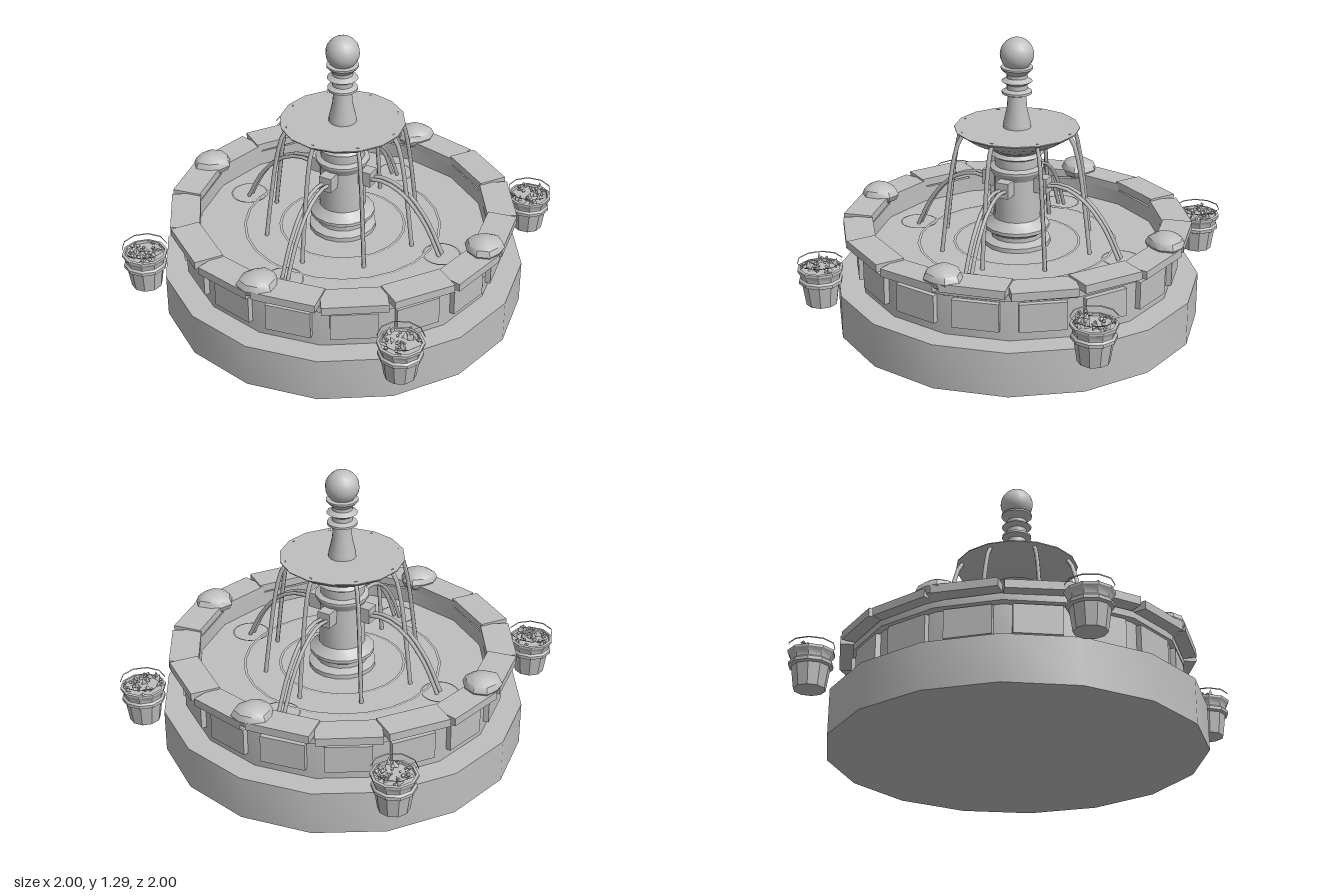
import * as THREE from 'three';
import { toCreasedNormals, mergeGeometries } from 'three/addons/utils/BufferGeometryUtils.js';

const stone = new THREE.MeshStandardMaterial({ color: 0xbfbfbf });
stone.name = 'grey stone';
stone.side = THREE.DoubleSide;

function add(parent, name, geometry, x = 0, y = 0, z = 0) {
  const mesh = new THREE.Mesh(geometry, stone);
  mesh.name = name;
  mesh.position.set(x, y, z);
  parent.add(mesh);
  return mesh;
}

// Turned part from [radius, height] pairs, bottom to top
function turned(profile, sides, crease = 0.5) {
  const points = profile.map(([r, y]) => new THREE.Vector2(r, y));
  return toCreasedNormals(new THREE.LatheGeometry(points, sides), crease);
}

// Small seeded random number source
function seeded(seed) {
  return () => {
    seed = (seed * 16807) % 2147483647;
    return seed / 2147483647;
  };
}

// Thin flat ring lying on the water
function ripple(parent, inner, outer, x, y, z) {
  const ring = new THREE.RingGeometry(inner, outer, 24).rotateX(-Math.PI / 2);
  add(parent, 'ripple', ring, x, y, z);
}

// Arc of water in the x = side plane, flowing outward along z
function jetGeometry(points, side, radius) {
  const curve = new THREE.CatmullRomCurve3(points.map(([r, y]) => new THREE.Vector3(side, y, r)));
  return new THREE.TubeGeometry(curve, 10, radius, 5, false);
}

// Weathered, slightly flattened boulder
function boulderGeometry(seed) {
  const random = seeded(seed);
  const geo = new THREE.SphereGeometry(0.085, 9, 6);
  const pos = geo.attributes.position;
  const a = random() * 6, b = random() * 6;
  for (let i = 0; i < pos.count; i++) {
    const x = pos.getX(i), y = pos.getY(i), z = pos.getZ(i);
    const t = Math.atan2(z, x);
    const k = 1 + (0.07 * Math.sin(3 * t + a) + 0.05 * Math.sin(2 * t + b)) * Math.hypot(x, z) / 0.085;
    pos.setXYZ(i, x * k, y * 0.6 + x * 0.1 * Math.sin(a), z * k);
  }
  return toCreasedNormals(geo, 0.6);
}

// Bed of small leaves and buds for a pot
function plantsGeometry(seed) {
  const random = seeded(seed);
  const parts = [];
  for (let i = 0; i < 34; i++) {
    const angle = random() * Math.PI * 2, r = 0.082 * Math.sqrt(random());
    const size = 0.007 + random() * 0.006;
    const bud = i % 3 === 0
      ? new THREE.ConeGeometry(size * 1.6, 0.03, 3).toNonIndexed()
      : new THREE.OctahedronGeometry(size);
    bud.rotateZ(random() - 0.5).rotateY(random() * 6);
    bud.translate(r * Math.sin(angle), 0.348 + random() * 0.025, r * Math.cos(angle));
    parts.push(bud);
  }
  return mergeGeometries(parts);
}

export function createModel() {
  const model = new THREE.Group();
  model.name = 'fountain';
  const step = Math.PI / 8;

  // Plinth and hollow basin
  add(model, 'plinth', turned([[0, 0], [0.815, 0], [0.815, 0.2], [0, 0.2]], 16));
  add(model, 'basinWall', turned([
    [0.705, 0.2], [0.705, 0.375], [0.725, 0.385], [0.725, 0.415], [0.65, 0.415], [0.65, 0.2],
  ], 16));
  const water = 0.345;
  add(model, 'basinWater', turned([[0.655, water], [0, water]], 16));

  // Wall panels and coping slabs, one per side
  for (let i = 0; i < 16; i++) {
    const side = new THREE.Group();
    side.name = 'basinSide';
    side.rotation.y = (i + 0.5) * step;
    model.add(side);
    add(side, 'wallPanel', new THREE.BoxGeometry(0.2, 0.125, 0.03), 0, 0.307, 0.7);
    const slab = add(side, 'copingSlab', new THREE.BoxGeometry(0.279, 0.036, 0.13),
      0, i % 2 ? 0.431 : 0.44, 0.702);
    slab.rotation.z = i % 2 ? 0.012 : -0.012;
  }

  // Ripples round the pedestal
  for (const r of [0.28, 0.44]) ripple(model, r - 0.006, r + 0.006, 0, water + 0.004, 0);

  // Pedestal
  add(model, 'pedestal', turned([
    [0.15, 0.32], [0.15, 0.365], [0.115, 0.38], [0.115, 0.4], [0.145, 0.42], [0.145, 0.435],
    [0.112, 0.46], [0.104, 0.47], [0.1, 0.66], [0.12, 0.695], [0.12, 0.705], [0.098, 0.715],
    [0.098, 0.755], [0.115, 0.765], [0.1, 0.78], [0.115, 0.8],
  ], 16));

  // Upper bowl
  add(model, 'upperBowl', turned([
    [0, 0.79], [0.11, 0.79], [0.16, 0.815], [0.22, 0.845], [0.275, 0.882], [0.275, 0.886],
    [0, 0.886],
  ], 16));

  // Finial column and ball
  add(model, 'finialColumn', turned([
    [0.062, 0.886], [0.06, 0.905], [0.045, 0.97], [0.04, 1.03], [0.066, 1.04], [0.066, 1.05],
    [0.045, 1.06], [0.045, 1.08], [0.068, 1.095], [0.045, 1.11], [0.045, 1.125],
    [0.07, 1.15], [0.07, 1.158], [0.03, 1.165],
  ], 16));
  add(model, 'finialBall', new THREE.SphereGeometry(0.074, 16, 12), 0, 1.214, 0);

  // Water spilling from the bowl in eight directions
  const spill = [[0.245, 0.884], [0.272, 0.84], [0.3, 0.73], [0.325, 0.56], [0.352, water]];
  for (let i = 0; i < 8; i++) {
    add(model, 'bowlJet', jetGeometry(spill, 0, 0.01)).rotation.y = i * Math.PI / 4;
  }

  // Spouts on the diagonals, their jets, ripples and boulders
  const arc = [[0.15, 0.635], [0.22, 0.642], [0.32, 0.6], [0.42, 0.49], [0.495, water]];
  for (let i = 0; i < 4; i++) {
    const quarter = new THREE.Group();
    quarter.name = 'spoutSide';
    quarter.rotation.y = (i + 0.5) * Math.PI / 2;
    model.add(quarter);
    add(quarter, 'spout', new THREE.BoxGeometry(0.06, 0.07, 0.07), 0, 0.637, 0.12);
    for (const x of [-0.014, 0.014]) add(quarter, 'spoutJet', jetGeometry(arc, x, 0.009));
    ripple(quarter, 0.078, 0.085, 0, water + 0.006, 0.5);
    add(quarter, 'boulder', boulderGeometry(31 + i * 977), 0, 0.458, 0.703);
  }

  // Four planted pots around the plinth
  for (let i = 0; i < 4; i++) {
    const pot = new THREE.Group();
    pot.name = 'flowerPot';
    pot.rotation.y = i * Math.PI / 2;
    pot.position.set(0.9 * Math.sin(pot.rotation.y), 0, 0.9 * Math.cos(pot.rotation.y));
    model.add(pot);
    add(pot, 'potBody', turned([
      [0, 0.185], [0.068, 0.185], [0.082, 0.28], [0.095, 0.286], [0.095, 0.3], [0.086, 0.308],
      [0.088, 0.325], [0.1, 0.342], [0.1, 0.352], [0.088, 0.354], [0.086, 0.342], [0, 0.342],
    ], 10));
    add(pot, 'potRim', turned([[0.097, 0.38], [0.099, 0.385]], 10));
    add(pot, 'plants', plantsGeometry(101 + i * 613));
  }
  return model;
}
